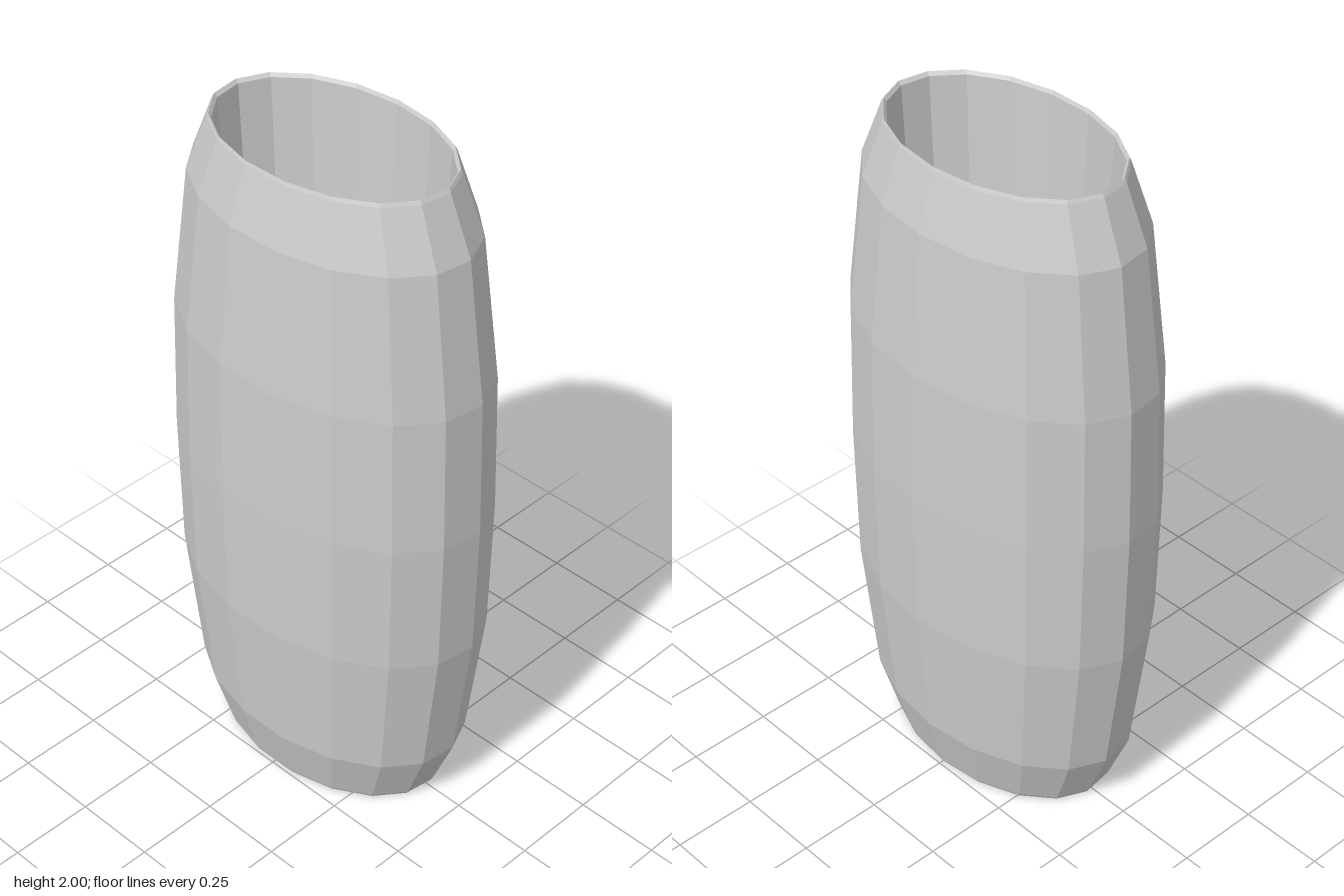
import * as THREE from 'three';

export function createModel() {
  const group = new THREE.Group();
  const material = new THREE.MeshStandardMaterial({ color: 0xcccccc, flatShading: true });

  // Upper half of the wall profile: outside (mid height to rim), then inside (rim to waist)
  const outer = [[0.328, 0], [0.322, 0.41], [0.287, 0.825], [0.243, 0.99], [0.239, 1]];
  const inner = [[0.233, 0.99], [0.196, 0]];

  // Mirror the half profile about mid height into one closed loop
  const upper = [...outer, ...inner];
  const lower = upper.slice(1, -1).reverse().map(([r, y]) => [r, -y]);
  const profile = [...upper, ...lower, upper[0]].map(([r, y]) => new THREE.Vector2(r, y + 1));

  // Seventeen-sided barrel bead, stretched into an oval, with a corner on +x
  const geometry = new THREE.LatheGeometry(profile, 17, Math.PI / 2);
  geometry.scale(1, 1, 1.567);
  geometry.translate(-0.003, 0, 0);

  const bead = new THREE.Mesh(geometry, material);
  bead.name = 'ovalBarrelBead';
  group.add(bead);
  return group;
}
